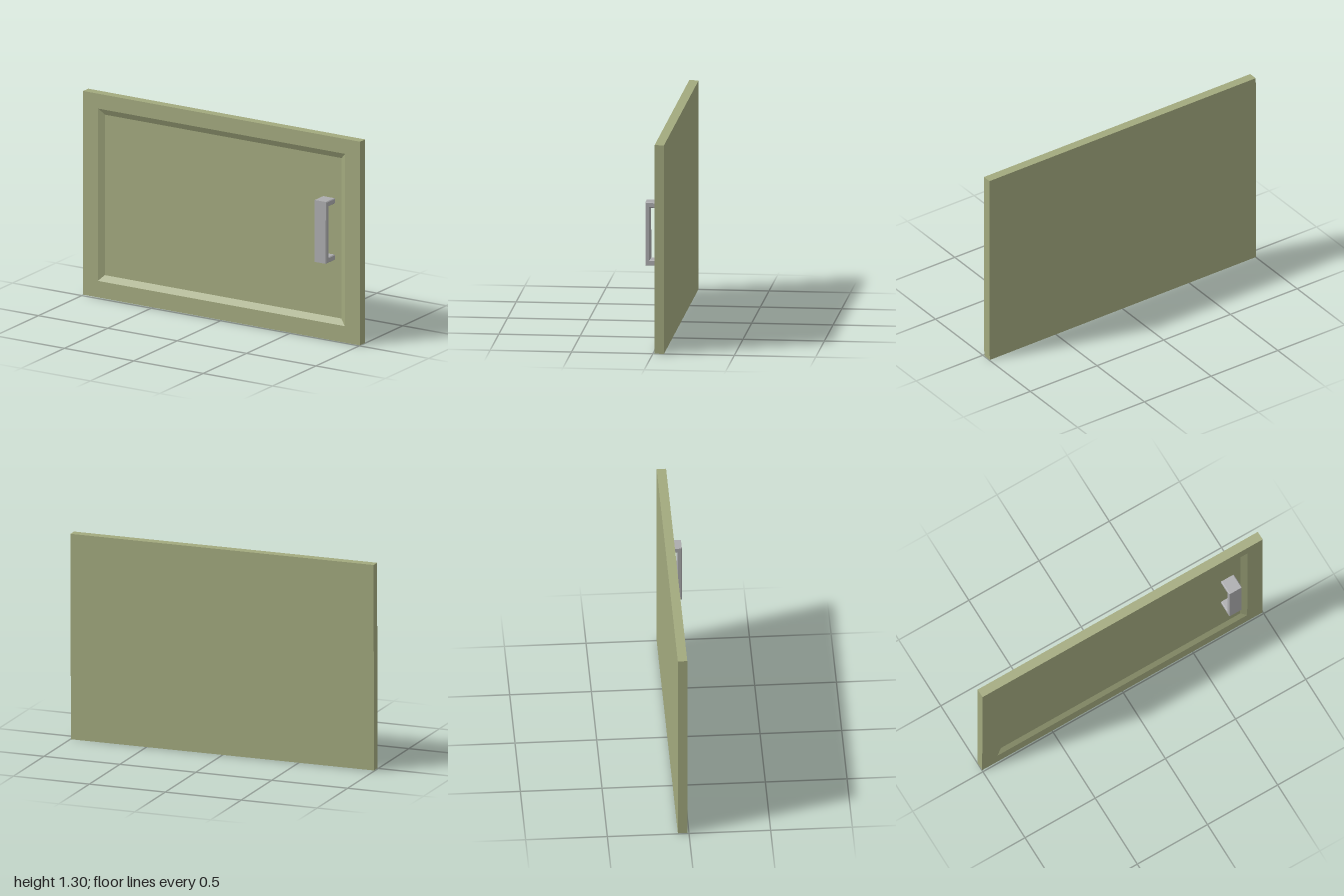
import * as THREE from 'three';

// Flat-faced solid lofted through rectangles [halfWidth, bottom, top, z], from back to inner front
function loftRects(rects) {
  const rings = rects.map(([w, b, t, z]) => [[-w, b, z], [w, b, z], [w, t, z], [-w, t, z]]);
  const pos = [];
  const quad = (a, b, c, d) => pos.push(...a, ...b, ...c, ...a, ...c, ...d);
  for (let r = 0; r < rings.length - 1; r++) {
    for (let i = 0; i < 4; i++) {
      const j = (i + 1) % 4;
      quad(rings[r][i], rings[r][j], rings[r + 1][j], rings[r + 1][i]);
    }
  }
  const first = rings[0], last = rings[rings.length - 1];
  quad(first[3], first[2], first[1], first[0]);
  quad(last[0], last[1], last[2], last[3]);
  const geo = new THREE.BufferGeometry();
  geo.setAttribute('position', new THREE.Float32BufferAttribute(pos, 3));
  geo.computeVertexNormals();
  return geo;
}

export function createModel() {
  const green = new THREE.MeshStandardMaterial({ color: 0xa2a97e });
  green.name = 'sage green paint';
  const grey = new THREE.MeshStandardMaterial({ color: 0xacacae });
  grey.name = 'grey metal';

  const model = new THREE.Group();
  model.name = 'cabinetDoor';

  // The door hangs very slightly out of square
  const door = new THREE.Group();
  door.name = 'door';
  door.position.y = 0.652;
  door.rotation.z = -0.002;
  model.add(door);

  // Slab with a recessed panel and sloping frame edges
  const panel = new THREE.Mesh(loftRects([
    [0.998, -0.65, 0.65, -0.068],
    [0.998, -0.65, 0.65, -0.01],
    [0.89, -0.545, 0.555, -0.01],
    [0.852, -0.507, 0.517, -0.03],
  ]), green);
  panel.name = 'doorPanel';
  door.add(panel);

  // Square pull handle: U outline in (z, y), extruded across x with chamfered edges
  const bevel = 0.005;
  const outline = new THREE.Shape([
    [-0.03, -0.137], [0.063, -0.137], [0.063, 0.248], [-0.03, 0.248],
    [-0.03, 0.223], [0.045, 0.223], [0.045, -0.112], [-0.03, -0.112],
  ].map(([z, y]) => new THREE.Vector2(z, y)));
  const handleGeo = new THREE.ExtrudeGeometry(outline, {
    depth: 0.09 - 2 * bevel, bevelEnabled: true, bevelSegments: 1,
    bevelSize: bevel, bevelThickness: bevel,
  });
  handleGeo.rotateY(-Math.PI / 2); // shape x becomes z, depth becomes -x
  handleGeo.translate(0.805 - bevel, 0, 0);
  const handle = new THREE.Mesh(handleGeo, grey);
  handle.name = 'handle';
  door.add(handle);

  return model;
}
